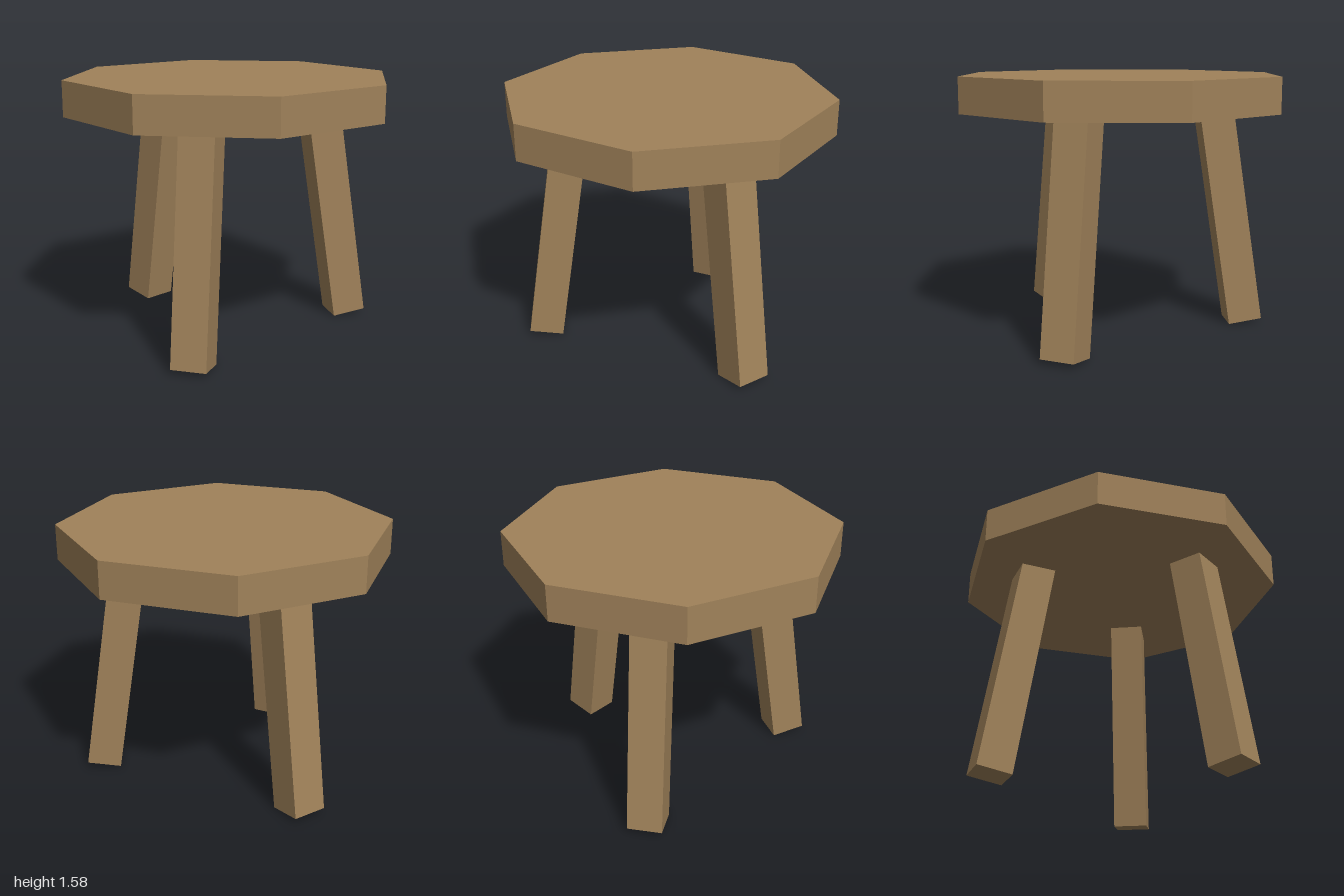
import * as THREE from 'three';

export function createModel() {
  const stool = new THREE.Group();
  stool.name = 'stool';
  const wood = new THREE.MeshStandardMaterial({ color: 0xa0825a });
  wood.name = 'wood';
  wood.flatShading = true;

  // Octagonal seat slab, corners on the x and z axes
  const seat = new THREE.Mesh(new THREE.CylinderGeometry(1, 1, 0.215, 8), wood);
  seat.name = 'seat';
  seat.position.y = 1.4675;
  stool.add(seat);

  // Three splayed square legs; geometry origin at the centre of the foot
  const width = 0.21, length = 1.44, splay = 0.152;
  const legGeometry = new THREE.BoxGeometry(width, length, width).translate(0, length / 2, 0);
  ['leftLeg', 'backRightLeg', 'frontRightLeg'].forEach((name, i) => {
    const pivot = new THREE.Group();
    pivot.name = name;
    pivot.rotation.y = (i * Math.PI * 2) / 3;
    const leg = new THREE.Mesh(legGeometry, wood);
    leg.name = name + 'Post';
    leg.position.set(0.785, (width / 2) * Math.sin(splay), 0);
    leg.rotation.z = splay;
    pivot.add(leg);
    stool.add(pivot);
  });

  return stool;
}
